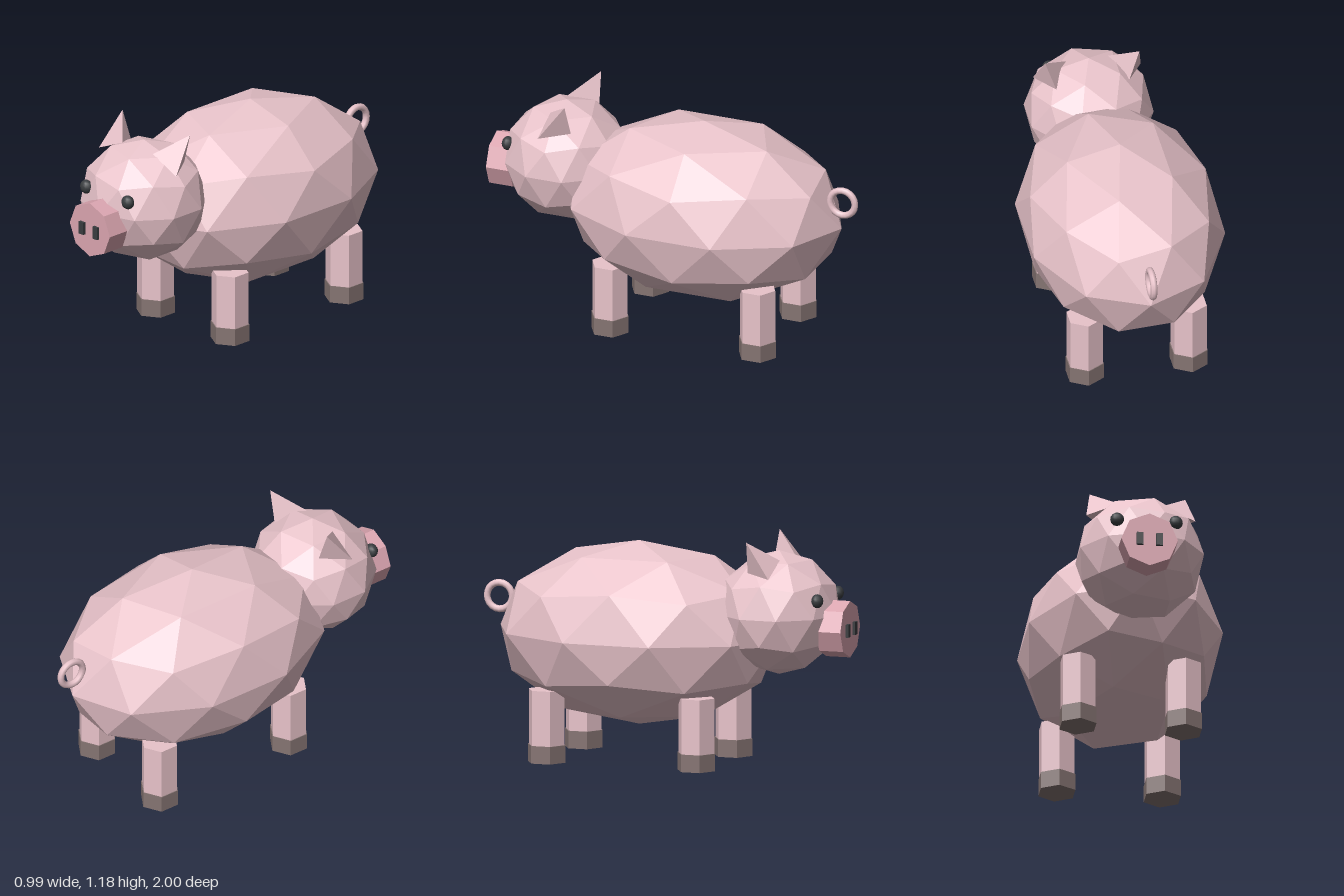
import * as THREE from 'three';
import { ConvexGeometry } from 'three/addons/geometries/ConvexGeometry.js';

const flat = (color) => new THREE.MeshStandardMaterial({ color, flatShading: true });

export function createModel() {
  const pig = new THREE.Group();
  pig.name = 'pig';
  const skin = flat(0xe8c3ca);
  const snoutPink = flat(0xdca6b1);
  const hoofBrown = flat(0x857472);
  const dark = flat(0x3a3d40);
  const smoothSkin = new THREE.MeshStandardMaterial({ color: 0xe8c3ca });
  const smoothDark = new THREE.MeshStandardMaterial({ color: 0x3a3d40 });

  const add = (name, geometry, material, x = 0, y = 0, z = 0) => {
    const mesh = new THREE.Mesh(geometry, material);
    mesh.name = name;
    mesh.position.set(x, y, z);
    pig.add(mesh);
    return mesh;
  };

  // Faceted ball standing on one of its five-sided corners
  const facetedBall = (rx, ry, rz) =>
    new THREE.IcosahedronGeometry(1, 1)
      .rotateZ(-Math.atan(2 / (1 + Math.sqrt(5))))
      .scale(rx, ry, rz);

  add('body', facetedBall(0.522, 0.472, 0.752), skin, 0, 0.65, -0.157);
  add('head', facetedBall(0.333, 0.318, 0.32), skin, 0, 0.793, 0.6);

  // Octagonal snout with its axis along z
  add('snout', new THREE.CylinderGeometry(0.145, 0.145, 0.13, 8).rotateX(Math.PI / 2),
    snoutPink, 0, 0.725, 0.92);

  for (const [side, s] of [['left', 1], ['right', -1]]) {
    add(`${side}Nostril`, new THREE.BoxGeometry(0.034, 0.066, 0.03), dark, s * 0.05, 0.724, 0.985);
    add(`${side}Eye`, new THREE.SphereGeometry(0.036, 12, 8).scale(1, 1, 0.85),
      smoothDark, s * 0.15, 0.884, 0.862);

    // Three-sided ear: front corners, rear corner, tip
    const corners = [[0.28, 1.0, 0.645], [0.11, 1.075, 0.645], [0.19, 1.015, 0.5], [0.245, 1.18, 0.512]];
    add(`${side}Ear`, new ConvexGeometry(corners.map(([x, y, z]) => new THREE.Vector3(s * x, y, z))), skin);

    // Hexagonal legs and hooves
    for (const [end, z] of [['Front', 0.252], ['Back', -0.559]]) {
      add(`${side}${end}Leg`, new THREE.CylinderGeometry(0.097, 0.097, 0.3, 6), skin, s * 0.27, 0.223, z);
      add(`${side}${end}Hoof`, new THREE.CylinderGeometry(0.102, 0.102, 0.09, 6), hoofBrown, s * 0.27, 0.045, z);
    }
  }

  // Ring tail standing in the middle plane
  add('tail', new THREE.TorusGeometry(0.068, 0.018, 8, 20).rotateY(Math.PI / 2), smoothSkin, 0, 0.795, -0.914);

  return pig;
}
